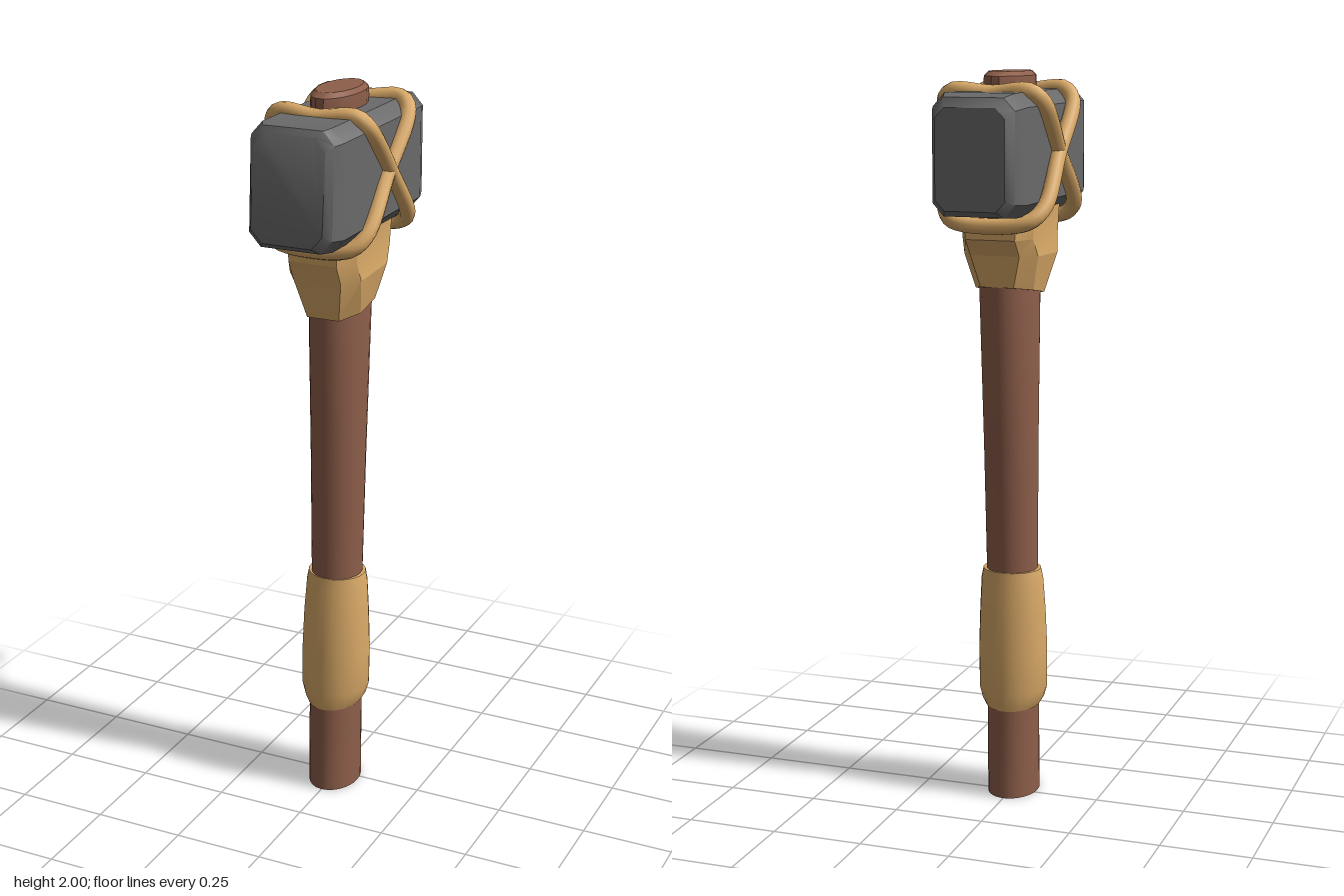
import * as THREE from 'three';
import { toCreasedNormals } from 'three/addons/utils/BufferGeometryUtils.js';

const wood = new THREE.MeshStandardMaterial({ name: 'wood', color: 0x8d5e4a });
const stone = new THREE.MeshStandardMaterial({ name: 'stone', color: 0x6a6a6a });
const leather = new THREE.MeshStandardMaterial({ name: 'leather', color: 0xdaaa68 });

// Closed solid skinned over rings of points, each counter-clockwise seen from the far end
function loft(rings, crease) {
  const n = rings[0].length;
  const index = [];
  for (let i = 0; i < rings.length - 1; i++) {
    for (let j = 0; j < n; j++) {
      const k = (j + 1) % n;
      const a = i * n + j, b = i * n + k, c = b + n, d = a + n;
      index.push(a, b, c, a, c, d);
    }
  }
  const top = (rings.length - 1) * n;
  for (let j = 1; j < n - 1; j++) {
    index.push(0, j + 1, j, top, top + j, top + j + 1);
  }
  const geometry = new THREE.BufferGeometry();
  geometry.setAttribute('position', new THREE.Float32BufferAttribute(rings.flat(2), 3));
  geometry.setIndex(index);
  return toCreasedNormals(geometry, crease);
}

// Horizontal oval: height, half width, back z, front z
function oval([y, rx, back, front], sides = 24) {
  return Array.from({ length: sides }, (_, i) => {
    const t = (i / sides) * Math.PI * 2;
    return [rx * Math.cos(t), y, (back + front) / 2 - ((front - back) / 2) * Math.sin(t)];
  });
}

// Rectangle with cut corners, counter-clockwise
function cutRect(u0, u1, v0, v1, cu, cv) {
  return [
    [u1, v0 + cv], [u1, v1 - cv], [u1 - cu, v1], [u0 + cu, v1],
    [u0, v1 - cv], [u0, v0 + cv], [u0 + cu, v0], [u1 - cu, v0],
  ];
}

function part(name, geometry, material) {
  const mesh = new THREE.Mesh(geometry, material);
  mesh.name = name;
  return mesh;
}

export function createModel() {
  const model = new THREE.Group();
  model.name = 'hammer';

  // Oval handle, flaring towards the head
  const handle = [
    [0, 0.07, -0.073, 0.112], [0.26, 0.07, -0.073, 0.105], [0.65, 0.07, -0.068, 0.08],
    [1.0, 0.073, -0.09, 0.084], [1.42, 0.079, -0.117, 0.09], [1.7, 0.06, -0.12, 0.095],
    [1.93, 0.055, -0.12, 0.1],
  ];
  model.add(part('handle', loft(handle.map((r) => oval(r)), 0.6), wood));

  // Handle end showing above the head
  const knob = [
    [1.93, 0.058, -0.125, 0.105], [1.965, 0.061, -0.133, 0.112],
    [1.988, 0.06, -0.131, 0.11], [2.0, 0.05, -0.11, 0.09],
  ];
  model.add(part('handleTop', loft(knob.map((r) => oval(r, 18)), 0.5), wood));

  // Leather grip
  const grip = [
    [0.255, 0.073, -0.076, 0.108], [0.275, 0.085, -0.08, 0.111], [0.305, 0.094, -0.082, 0.112],
    [0.42, 0.095, -0.083, 0.108], [0.53, 0.091, -0.08, 0.1], [0.62, 0.086, -0.074, 0.086],
    [0.65, 0.08, -0.071, 0.081],
  ];
  model.add(part('grip', loft(grip.map((r) => oval(r)), 0.7), leather));

  // Faceted leather collar under the head; its lower edge rises towards the back
  const collar = [
    // height, half width, back z, front z, corner cut x, corner cut z, slant
    [1.42, 0.081, -0.118, 0.093, 0.035, 0.06, 0.17],
    [1.52, 0.103, -0.135, 0.128, 0.035, 0.05, 0.04],
    [1.57, 0.098, -0.172, 0.155, 0.03, 0.06, 0],
    [1.65, 0.104, -0.172, 0.152, 0.03, 0.06, 0],
  ].map(([y, rx, back, front, cx, cz, slant]) =>
    cutRect(-rx, rx, -front, -back, cx, cz).map(([x, v]) => [x, y + v * slant, -v]));
  model.add(part('collar', loft(collar, 0.25), leather));

  // Chamfered stone head, with a front face leaning back at the top
  const head = [
    // z, left and right x, bottom and top y, corner cut, lean
    [-0.305, -0.088, 0.1, 1.655, 1.915, 0.025, 0],
    [-0.285, -0.108, 0.114, 1.64, 1.94, 0.03, 0],
    [-0.235, -0.125, 0.131, 1.635, 1.95, 0.032, 0],
    [0.24, -0.125, 0.131, 1.635, 1.95, 0.032, 0],
    [0.285, -0.112, 0.118, 1.64, 1.946, 0.032, 0.1],
    [0.304, -0.098, 0.1, 1.655, 1.93, 0.03, 0.14],
  ].map(([z, x0, x1, y0, y1, cut, lean]) =>
    cutRect(x0, x1, y0, y1, cut, cut * 1.1).map(([x, y]) =>
      [x, y, z - lean * Math.max(0, y - 1.75)]));
  model.add(part('head', loft(head, 0.6), stone));

  // Two cords looping round the head and crossing on each side
  const cord = (topZ, bottomZ, dip, bulge) => {
    const midZ = (topZ + bottomZ) / 2;
    const halfLoop = [
      [0.105, 1.952, topZ], [0.134, 1.925, topZ * 0.88],
      [bulge, 1.785, midZ], [0.136, 1.655, bottomZ * 0.8], [0.105, 1.62, bottomZ],
    ];
    const mirrored = halfLoop.map(([x, y, z]) => [-x, y, z]).reverse();
    const points = [
      [0, 1.945, topZ + dip], ...halfLoop, [0, 1.607, bottomZ * 1.04], ...mirrored,
    ].map((p) => new THREE.Vector3(...p));
    const path = new THREE.CatmullRomCurve3(points, true, 'centripetal');
    return new THREE.TubeGeometry(path, 80, 0.022, 10, true);
  };
  model.add(part('cordBack', cord(-0.16, 0.148, 0.01, 0.136), leather));
  model.add(part('cordFront', cord(0.118, -0.172, 0.01, 0.138), leather));

  return model;
}
